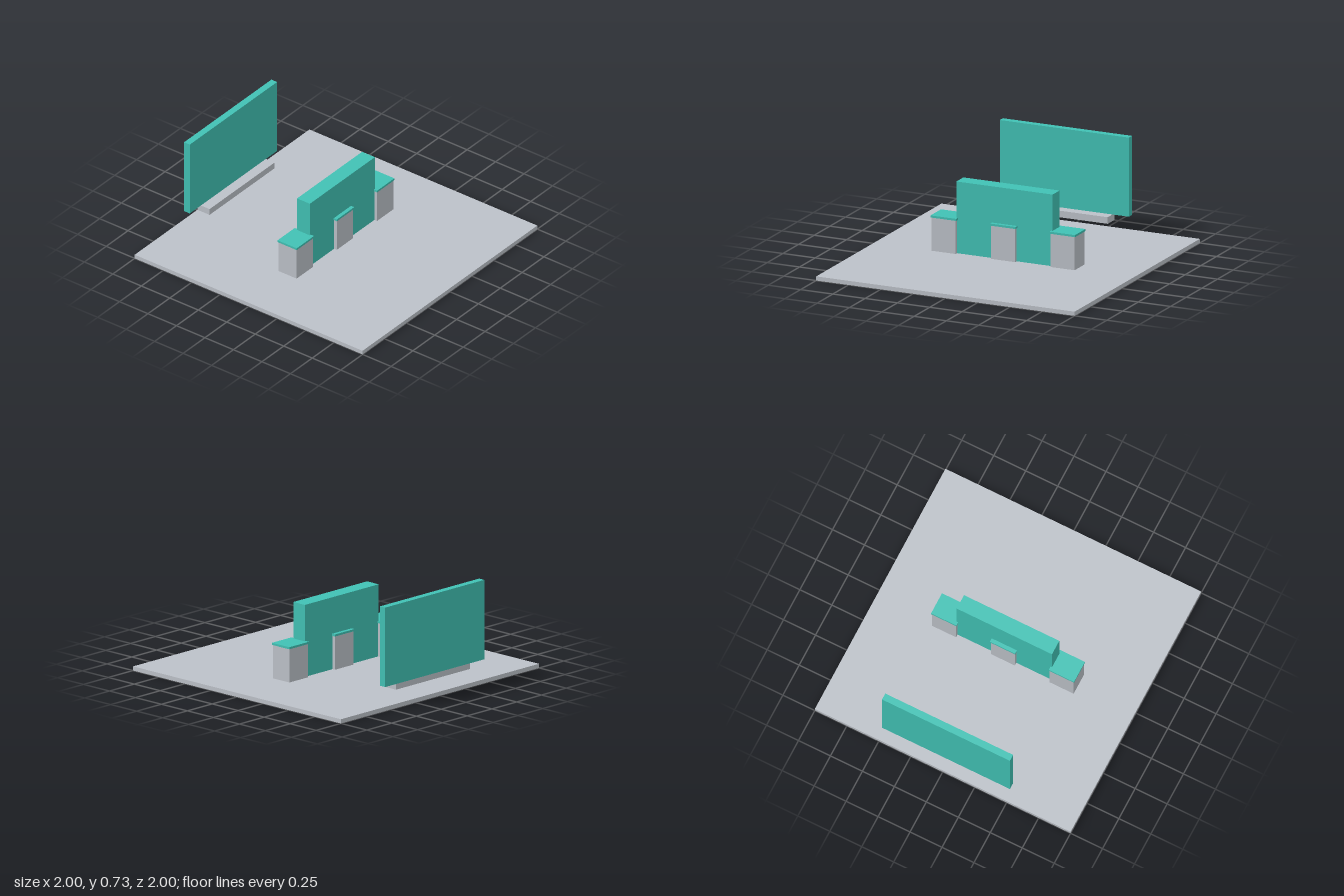
import * as THREE from 'three';

export function createModel() {
  const group = new THREE.Group();
  const grey = new THREE.MeshStandardMaterial({ color: 0xbcc1c8 });
  grey.name = 'grey';
  const teal = new THREE.MeshStandardMaterial({ color: 0x41c1b4 });
  teal.name = 'teal';

  // Box given by its centre in x and z, width, depth, and bottom and top heights
  function block(name, material, x, z, width, depth, bottom, top) {
    const mesh = new THREE.Mesh(new THREE.BoxGeometry(width, top - bottom, depth), material);
    mesh.name = name;
    mesh.position.set(x, (bottom + top) / 2, z);
    group.add(mesh);
  }

  // Ground slab
  block('base', grey, 0, 0, 2, 2, 0, 0.03);

  // Central wall, let into the slab
  block('wall', teal, 0, 0, 0.745, 0.112, 0.002, 0.55);

  // Three capped piers along the wall
  for (const x of [-0.46, 0, 0.46]) {
    block('pier', grey, x, 0, 0.187, 0.158, 0.03, 0.272);
    block('pierCap', teal, x, 0, 0.198, 0.168, 0.272, 0.287);
  }

  // Raised board at the back with its ledge
  block('backBoard', teal, 0, -0.925, 1, 0.05, 0.153, 0.727);
  block('ledge', grey, 0, -0.878, 0.745, 0.108, 0.105, 0.153);

  return group;
}
